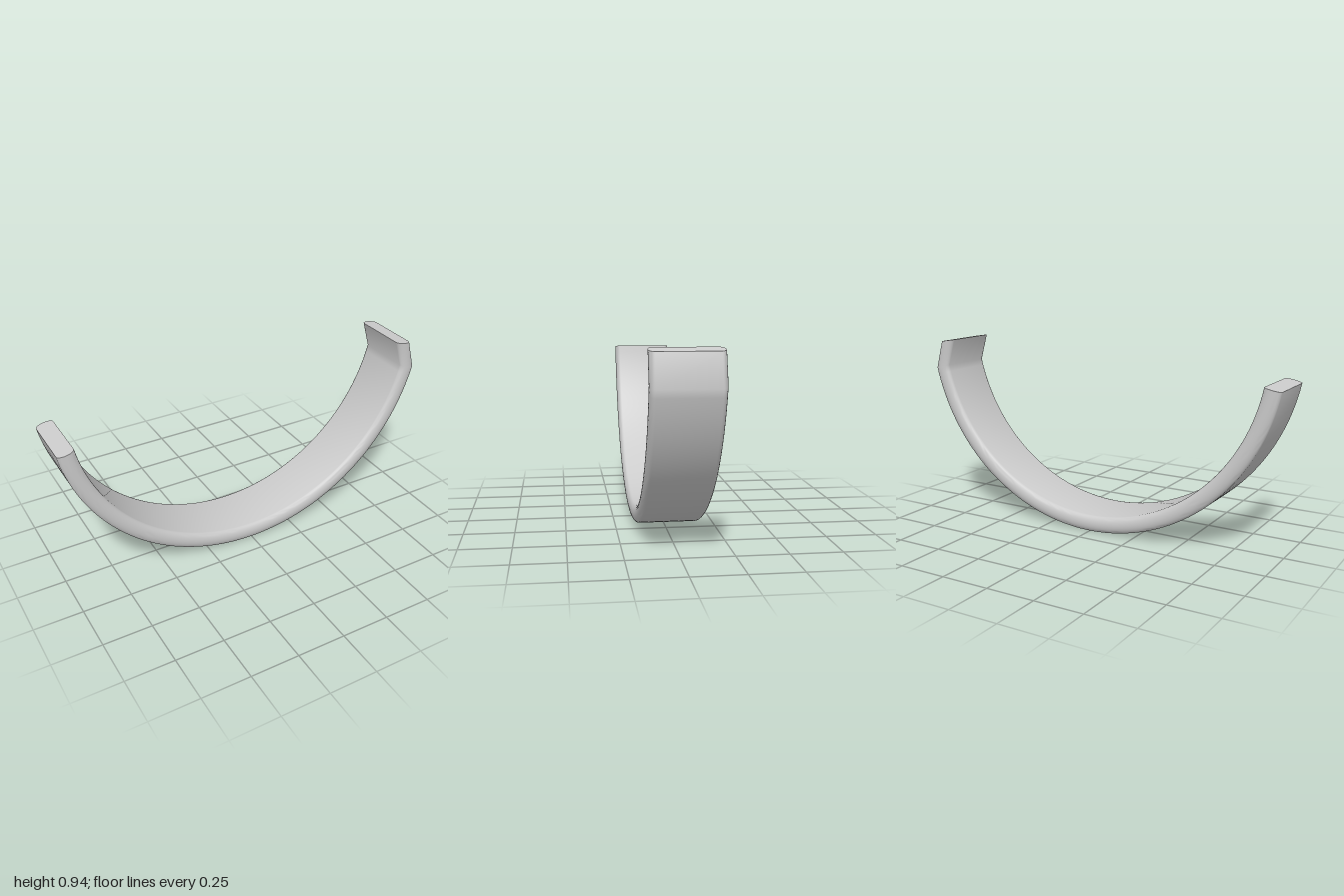
import * as THREE from 'three';
import { toCreasedNormals } from 'three/addons/utils/BufferGeometryUtils.js';

const CX = 0.004, CY = 1.022;          // centre of the arc
const R = 0.979, HALF_T = 0.043;       // mid radius, half thickness
const HALF_W = 0.163, BULGE = 0.025;   // half width, depth of the rounded edges

// Band cross-section as [radial, z] pairs: flat faces with rounded edges
function bandSection(steps = 12) {
  const pts = [];
  for (const side of [1, -1]) {
    for (let i = 0; i <= steps; i++) {
      const a = Math.PI / 2 - (Math.PI * i) / steps;
      pts.push([side * HALF_T * Math.sin(a), side * (HALF_W - BULGE + BULGE * Math.cos(a))]);
    }
  }
  return pts;
}

// Stations along the band: centre x, y and tilt of the section
function bandStations(steps = 72) {
  const start = THREE.MathUtils.degToRad(-169), end = THREE.MathUtils.degToRad(-13.6);
  const list = [];
  for (let i = 0; i <= steps; i++) {
    const a = start + ((end - start) * i) / steps;
    list.push([CX + R * Math.cos(a), CY + R * Math.sin(a), a]);
  }
  // bent-in tip
  list.push([0.913, 0.9385, THREE.MathUtils.degToRad(-8.5)]);
  return list;
}

function sweep(section, stations) {
  const pos = [], index = [], n = section.length, last = (stations.length - 1) * n;
  for (const [x, y, a] of stations) {
    for (const [r, z] of section) pos.push(x + r * Math.cos(a), y + r * Math.sin(a), z);
  }
  for (let s = 0; s < stations.length - 1; s++) {
    for (let i = 0; i < n; i++) {
      const a = s * n + i, b = s * n + ((i + 1) % n), c = a + n, d = b + n;
      index.push(a, b, c, b, d, c);
    }
  }
  // flat end caps
  for (let i = 1; i < n - 1; i++) {
    index.push(0, i + 1, i);
    index.push(last, last + i, last + i + 1);
  }
  const geo = new THREE.BufferGeometry();
  geo.setAttribute('position', new THREE.Float32BufferAttribute(pos, 3));
  geo.setIndex(index);
  return toCreasedNormals(geo, 0.8);
}

export function createModel() {
  const group = new THREE.Group();
  group.name = 'curvedBand';
  const material = new THREE.MeshStandardMaterial({ color: 0xcccccc, side: THREE.DoubleSide });
  const band = new THREE.Mesh(sweep(bandSection(), bandStations()), material);
  band.name = 'band';
  group.add(band);
  return group;
}
